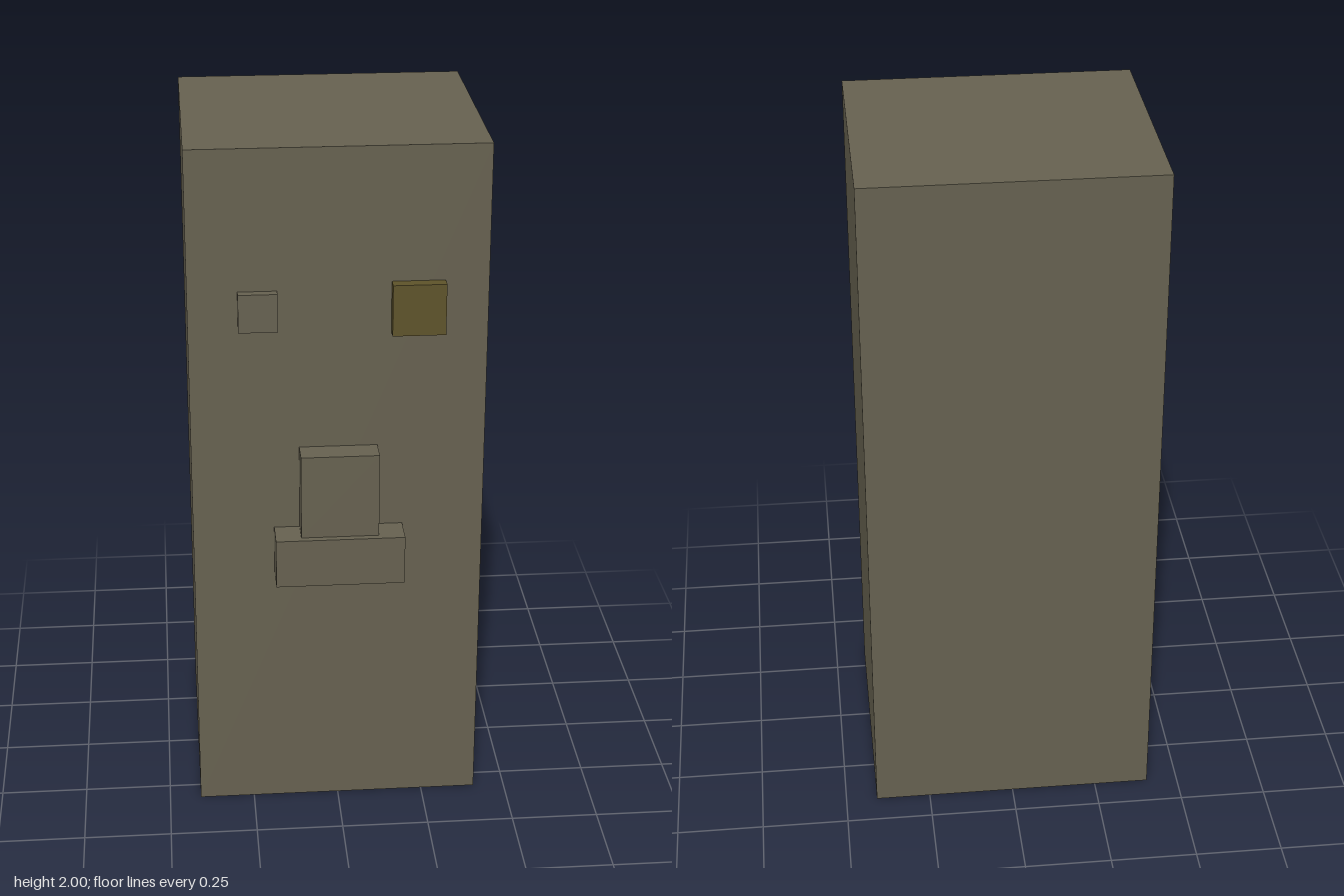
import * as THREE from 'three';

export function createModel() {
  const model = new THREE.Group();
  model.name = 'blockPillar';

  const stone = new THREE.MeshStandardMaterial({ color: 0x666150 });
  stone.name = 'grey brown stone';
  const gold = new THREE.MeshStandardMaterial({ color: 0x5e532a });
  gold.name = 'dark gold';

  // Adds a box given its extents along each axis
  function addBlock(name, material, [x0, x1], [y0, y1], [z0, z1]) {
    const mesh = new THREE.Mesh(new THREE.BoxGeometry(x1 - x0, y1 - y0, z1 - z0), material);
    mesh.position.set((x0 + x1) / 2, (y0 + y1) / 2, (z0 + z1) / 2);
    mesh.name = name;
    model.add(mesh);
  }

  const front = 0.317; // front face of the body

  // Tall body
  addBlock('body', stone, [-0.409, 0.409], [0, 2], [-0.409, front]);

  // Uneven eyes
  addBlock('rightEye', stone, [-0.273, -0.166], [1.493, 1.602], [front, 0.343]);
  addBlock('leftEye', gold, [0.144, 0.29], [1.475, 1.621], [front, 0.352]);

  // Nose resting on a wider lip
  addBlock('nose', stone, [-0.109, 0.109], [0.893, 1.139], [front, 0.39]);
  addBlock('lip', stone, [-0.181, 0.181], [0.75, 0.893], [front, 0.409]);

  return model;
}
